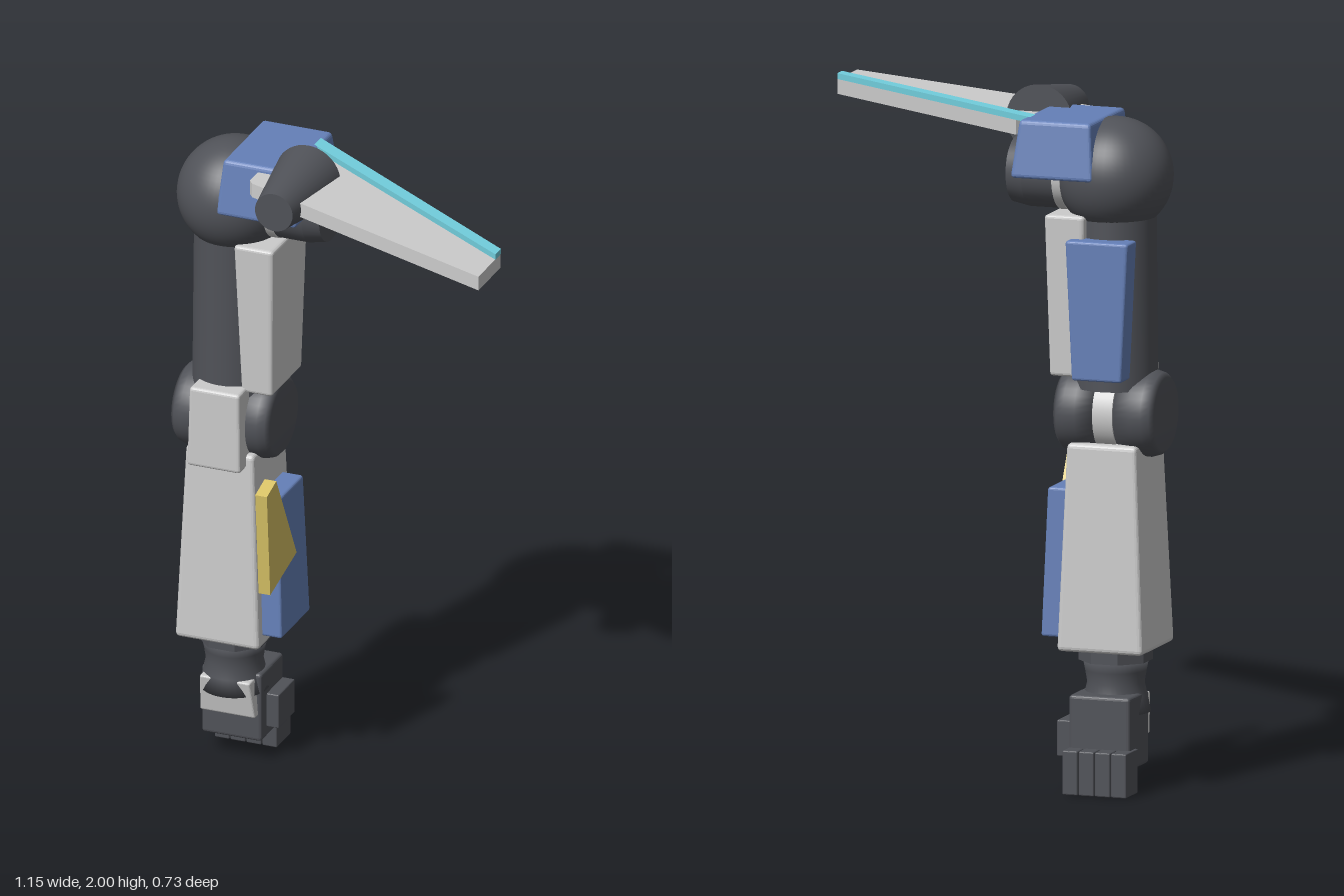
import * as THREE from 'three';
import { RoundedBoxGeometry } from 'three/addons/geometries/RoundedBoxGeometry.js';

const mat = (color, extra = {}) => new THREE.MeshStandardMaterial({ color, ...extra });

export function createModel() {
  const group = new THREE.Group();
  const light = mat(0xcccccc), dark = mat(0x505258), blue = mat(0x6580b8);
  const yellow = mat(0xd8c266), cyan = mat(0x72cedd);
  const AX = -0.41, AZ = -0.183; // axis of the arm

  function add(name, geometry, material, x = 0, y = 0, z = 0) {
    const mesh = new THREE.Mesh(geometry, material);
    mesh.name = name;
    mesh.position.set(x, y, z);
    group.add(mesh);
    return mesh;
  }

  // Soft-edged box whose bottom and top rectangles [x0, x1, z0, z1] may differ
  function block(name, material, y0, y1, bottom, top = bottom, radius = 0.01) {
    const w = bottom[1] - bottom[0], h = y1 - y0, d = bottom[3] - bottom[2];
    const g = new RoundedBoxGeometry(w, h, d, 2, radius);
    const p = g.attributes.position;
    const mix = THREE.MathUtils.lerp;
    for (let i = 0; i < p.count; i++) {
      const u = p.getX(i) / w + 0.5, t = p.getY(i) / h + 0.5, v = p.getZ(i) / d + 0.5;
      const r = bottom.map((b, k) => mix(b, top[k], t));
      p.setXYZ(i, mix(r[0], r[1], u), mix(y0, y1, t), mix(r[2], r[3], v));
    }
    g.computeVertexNormals();
    return add(name, g, material);
  }

  // Turned part around the vertical axis, from [radius, height] points
  const turned = (points) =>
    new THREE.LatheGeometry(points.map(([r, y]) => new THREE.Vector2(r, y)), 40);

  // Flat plan outline [x, z] raised from y0 to y1
  function slab(name, material, y0, y1, outline) {
    const shape = new THREE.Shape(outline.map(([x, z]) => new THREE.Vector2(x, -z)));
    const g = new THREE.ExtrudeGeometry(shape, { depth: y1 - y0, bevelEnabled: false });
    g.rotateX(-Math.PI / 2);
    return add(name, g, material, 0, y0, 0);
  }

  // Shoulder
  add('shoulderBall', new THREE.SphereGeometry(0.167, 48, 32), dark, -0.408, 1.77, AZ);
  block('shoulderCap', blue, 1.772, 1.938, [-0.40, -0.15, -0.355, -0.013], [-0.385, -0.17, -0.332, -0.036], 0.012);
  const pivot = new THREE.CylinderGeometry(0.095, 0.105, 0.05, 40).rotateZ(-Math.PI / 2);
  add('shoulderPivotEnd', pivot, dark, -0.135, 1.77, AZ);
  add('shoulderPivot', new THREE.CylinderGeometry(0.105, 0.105, 0.2, 40).rotateZ(Math.PI / 2), dark, -0.26, 1.77, AZ);
  add('shoulderRing', new THREE.CylinderGeometry(0.108, 0.108, 0.025, 40).rotateZ(Math.PI / 2), light, -0.265, 1.77, AZ);

  // Upper arm
  add('upperArm', new THREE.CylinderGeometry(0.116, 0.121, 0.54, 40), dark, AX, 1.43, AZ);
  block('upperArmSidePlate', light, 1.197, 1.665, [-0.345, -0.25, -0.298, -0.075], [-0.36, -0.238, -0.313, -0.052]);
  block('upperArmBackPlate', blue, 1.197, 1.6, [-0.485, -0.335, -0.35, -0.27], [-0.505, -0.315, -0.35, -0.27], 0.008);

  // Elbow: two rounded drums with a light band between them
  const drum = [[0, 0], [0.105, 0], [0.118, -0.012], [0.125, -0.035], [0.125, -0.07], [0.112, -0.125], [0, -0.125]].reverse();
  for (const s of [-1, 1]) {
    const m = add('elbowDrum', turned(drum), dark, AX + s * 0.152, 1.087, AZ);
    m.rotation.z = -s * Math.PI / 2;
  }
  add('elbowBand', new THREE.CylinderGeometry(0.118, 0.118, 0.06, 40).rotateZ(Math.PI / 2), light, AX, 1.087, AZ);
  block('elbowGuard', light, 0.965, 1.212, [-0.49, -0.325, -0.1, -0.018], [-0.482, -0.328, -0.1, -0.018]);

  // Forearm with side plate and fin
  block('forearm', light, 0.405, 1.005, [-0.538, -0.278, -0.32, -0.043], [-0.512, -0.302, -0.3, -0.063], 0.014);
  block('forearmSidePlate', blue, 0.44, 0.87, [-0.31, -0.22, -0.287, -0.075], [-0.32, -0.235, -0.272, -0.093], 0.008);
  const fin = new THREE.Shape([[-0.07, 0.955], [0, 0.975], [0.15, 0.685], [-0.045, 0.635]].map(([a, b]) => new THREE.Vector2(a, b)));
  const finGeometry = new THREE.ExtrudeGeometry(fin, { depth: 0.036, bevelEnabled: false }).rotateY(Math.PI / 2);
  add('forearmFin', finGeometry, yellow, -0.241, 0, 0);

  // Wrist
  add('wristCollar', new THREE.CylinderGeometry(0.106, 0.106, 0.05, 8).rotateY(Math.PI / 8), mat(0x505258, { flatShading: true }), AX, 0.393, AZ);
  add('wrist', turned([[0, 0.22], [0.1, 0.22], [0.09, 0.27], [0.082, 0.305], [0.088, 0.34], [0.095, 0.375], [0, 0.375]]), dark, AX, 0, AZ);

  // Hand
  block('palm', dark, 0.068, 0.28, [-0.497, -0.312, -0.31, -0.145]);
  block('handGuard', light, 0.15, 0.268, [-0.492, -0.322, -0.17, -0.122], [-0.485, -0.33, -0.17, -0.1], 0.006);
  block('thumb', dark, 0.1, 0.205, [-0.33, -0.275, -0.305, -0.185], undefined, 0.004);
  for (let i = 0; i < 4; i++) {
    const x = -0.505 + i * 0.049;
    block('finger', dark, 0, 0.128, [x, x + 0.046, -0.362, -0.26], undefined, 0.004);
  }

  // Tapered pod and blade at the top
  add('pod', new THREE.CylinderGeometry(0.058, 0.1, 0.255, 40).rotateX(Math.PI / 2), dark, -0.148, 1.9, 0.028);
  slab('blade', light, 1.878, 1.921,
    [[-0.13, -0.245], [0.57, 0.2], [0.57, 0.363], [-0.262, 0.042], [-0.276, 0.025], [-0.276, -0.03]].reverse());
  slab('bladeEdge', cyan, 1.921, 1.938,
    [[-0.185, -0.28], [0.571, 0.2], [0.571, 0.24], [-0.185, -0.232]].reverse());

  return group;
}
